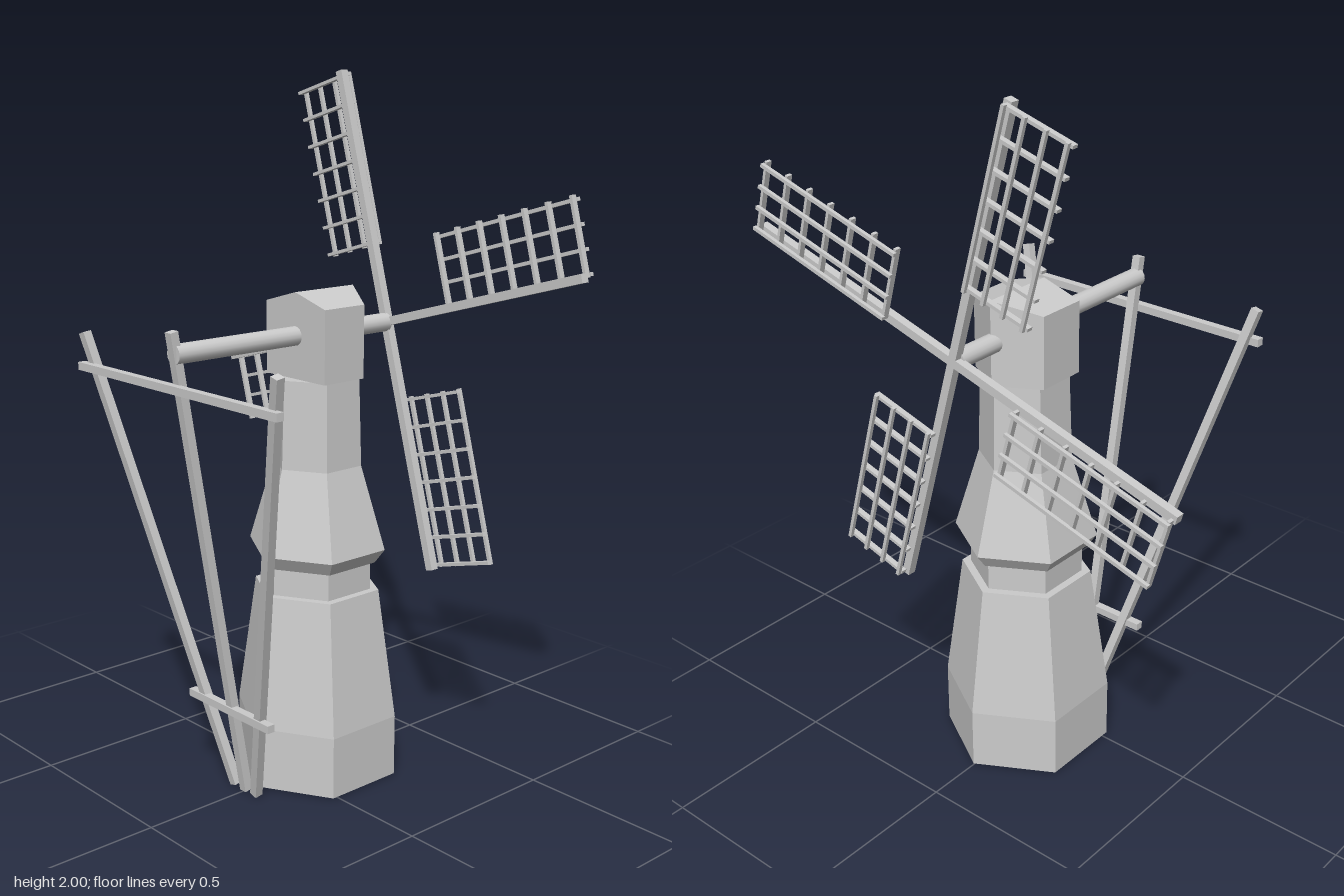
import * as THREE from 'three';

const material = new THREE.MeshStandardMaterial({ color: 0xcccccc, flatShading: true });
const smooth = new THREE.MeshStandardMaterial({ color: 0xcccccc });

const HUB_Y = 1.3;
const TOWER_X = 0.102;

function add(parent, name, geometry, mat = material) {
  const mesh = new THREE.Mesh(geometry, mat);
  mesh.name = name;
  parent.add(mesh);
  return mesh;
}

// Square beam between two points
function beam(parent, name, a, b, width) {
  const from = new THREE.Vector3(...a), to = new THREE.Vector3(...b);
  const dir = to.clone().sub(from);
  const mesh = add(parent, name, new THREE.BoxGeometry(width, dir.length(), width));
  mesh.position.copy(from).add(to).multiplyScalar(0.5);
  mesh.quaternion.setFromUnitVectors(new THREE.Vector3(0, 1, 0), dir.normalize());
  return mesh;
}

// Axis-aligned box given by its centre and size
function box(parent, name, [x, y, z], size) {
  const mesh = add(parent, name, new THREE.BoxGeometry(...size));
  mesh.position.set(x, y, z);
  return mesh;
}

// Six-sided tower with a flared gallery
function buildTower() {
  const profile = [
    [0, 0.01], [0.24, 0.01], [0.24, 0.19], [0.185, 0.57], [0.16, 0.57], [0.16, 0.65],
    [0.173, 0.65], [0.202, 0.69], [0.13, 0.93], [0.122, 1.18], [0, 1.18],
  ].map(([r, y]) => new THREE.Vector2(r, y));
  return new THREE.LatheGeometry(profile, 6, Math.PI / 2);
}

// Cap: low gable roof with a pointed front, made as two halves
function buildCap() {
  const cap = new THREE.Group();
  cap.name = 'cap';
  const half = 0.12, back = 0.02, front = 0.235;
  for (const s of [-1, 1]) {
    const shape = new THREE.Shape([
      new THREE.Vector2(0, 1.18), new THREE.Vector2(s * half, 1.18),
      new THREE.Vector2(s * half, 1.385), new THREE.Vector2(0, 1.42),
    ]);
    const geometry = new THREE.ExtrudeGeometry(shape, { depth: front - back, bevelEnabled: false });
    geometry.rotateY(Math.PI / 2).translate(back, 0, 0);
    // Pull the front corners back to leave a pointed prow
    const pos = geometry.attributes.position;
    for (let i = 0; i < pos.count; i++) {
      if (pos.getX(i) > 0.1) pos.setX(i, front - 0.07 * Math.abs(pos.getZ(i)) / half);
    }
    geometry.computeVertexNormals();
    add(cap, 'capHalf', geometry);
  }
  return cap;
}

// One sail pointing up, its lattice on the -z side of the stock
function buildSail() {
  const sail = new THREE.Group();
  sail.name = 'sail';
  box(sail, 'stock', [0.372, 0.364, 0], [0.025, 0.728, 0.024]);
  const inner = 0.232, outer = 0.718, width = 0.212;
  for (let i = 0; i < 4; i++) {
    box(sail, 'longSlat', [0.406, (inner + outer) / 2, -0.008 - i * 0.064],
      [0.011, outer - inner + 0.016, 0.01]);
  }
  for (let i = 0; i < 7; i++) {
    const y = THREE.MathUtils.lerp(inner, outer, i / 6);
    box(sail, 'crossSlat', [0.393, y, -width / 2], [0.017, 0.009, width]);
  }
  return sail;
}

// Tail poles that turn the cap
function buildTail() {
  const tail = new THREE.Group();
  tail.name = 'tail';
  beam(tail, 'centrePole', [-0.165, 0.01, 0], [-0.4, 1.36, 0], 0.025);
  for (const s of [-1, 1]) {
    beam(tail, 'sidePole', [-0.165, 0.012, s * 0.045], [-0.393, 1.305, s * 0.406], 0.025);
  }
  box(tail, 'upperCrossbar', [-0.397, 1.21, 0], [0.024, 0.022, 0.84]);
  box(tail, 'lowerCrossbar', [-0.218, 0.27, 0], [0.024, 0.022, 0.346]);
  return tail;
}

export function createModel() {
  const model = new THREE.Group();
  model.name = 'windmill';

  add(model, 'tower', buildTower()).position.x = TOWER_X;
  model.add(buildCap());

  // Windshaft through the cap
  const shaft = add(model, 'windshaft', new THREE.CylinderGeometry(0.027, 0.027, 0.76, 16), smooth);
  shaft.rotation.z = Math.PI / 2;
  shaft.position.set(-0.015, HUB_Y, 0);

  // Four sails around the hub
  const sails = new THREE.Group();
  sails.name = 'sails';
  sails.position.y = HUB_Y;
  for (let i = 0; i < 4; i++) {
    const sail = buildSail();
    sail.rotation.x = -0.278 + i * Math.PI / 2;
    sails.add(sail);
  }
  model.add(sails, buildTail());

  return model;
}
